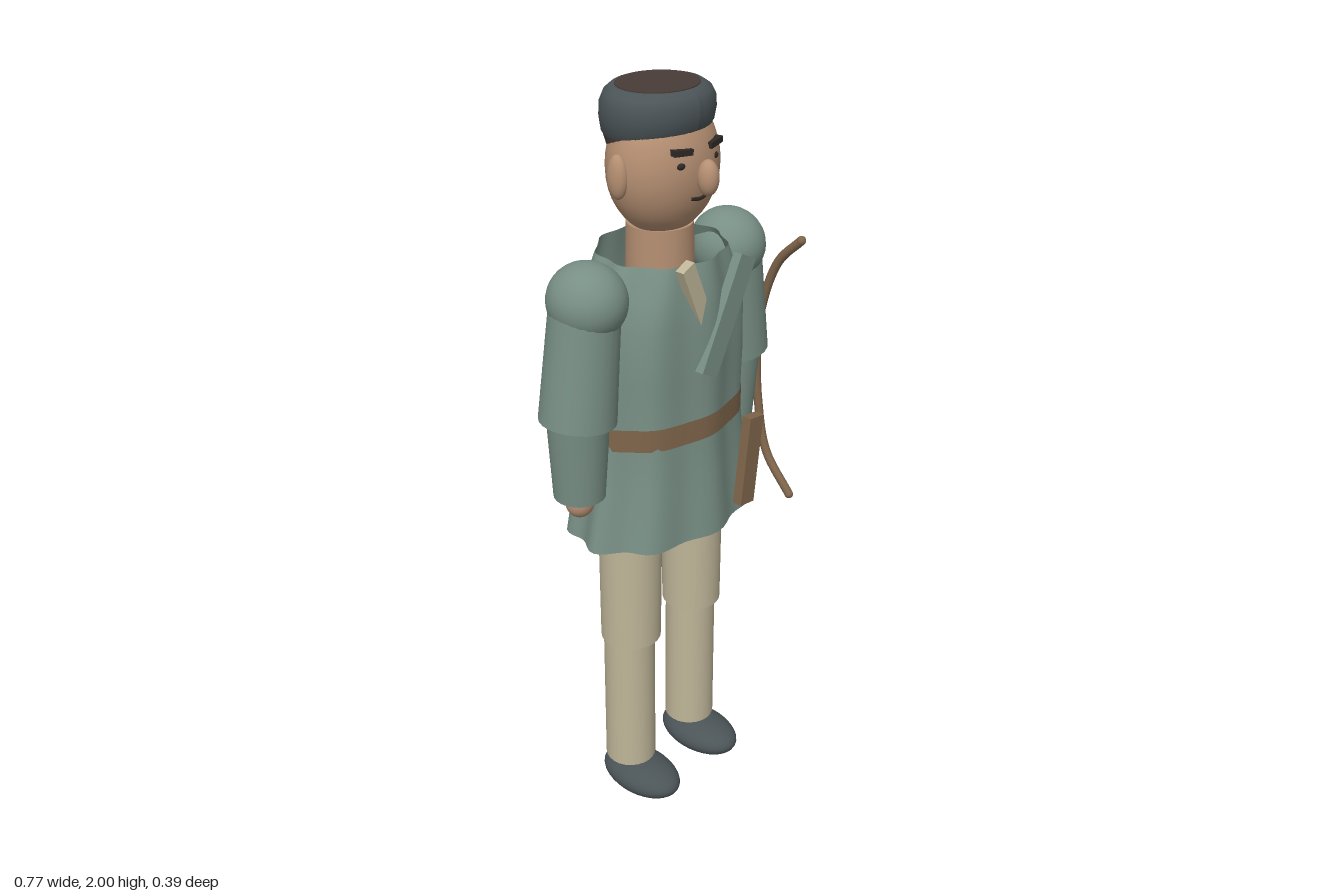
import * as THREE from 'three';

const mat = (name, color, side = THREE.FrontSide) => {
  const m = new THREE.MeshStandardMaterial({ color, side });
  m.name = name;
  return m;
};

export function createModel() {
  const root = new THREE.Group();
  root.name = 'archer';
  const cloth = mat('sage cloth', 0x788f85, THREE.DoubleSide);
  const linen = mat('linen', 0xbfb598);
  const skin = mat('skin', 0xb58f72);
  const dark = mat('slate felt', 0x4b5457);
  const hair = mat('dark hair', 0x483c36);
  const leather = mat('leather', 0x7f654b, THREE.DoubleSide);
  const ink = mat('face ink', 0x2f2926);

  const add = (name, geo, m, x = 0, y = 0, z = 0) => {
    const mesh = new THREE.Mesh(geo, m);
    mesh.name = name;
    mesh.position.set(x, y, z);
    root.add(mesh);
    return mesh;
  };
  const ball = (name, m, x, y, z, rx, ry, rz) =>
    add(name, new THREE.SphereGeometry(1, 32, 20).scale(rx, ry, rz), m, x, y, z);
  // Tapered limb between two points
  const limb = (name, m, a, b, ra, rb) => {
    const from = new THREE.Vector3(...a), to = new THREE.Vector3(...b);
    const dir = from.clone().sub(to);
    const mesh = add(name, new THREE.CylinderGeometry(ra, rb, dir.length(), 24), m);
    mesh.position.copy(from).add(to).multiplyScalar(0.5);
    mesh.quaternion.setFromUnitVectors(new THREE.Vector3(0, 1, 0), dir.normalize());
    return mesh;
  };
  // Open wall lofted through rings [y, rx, rz, fold depth]
  const loft = (rings, n = 72) => {
    const pos = [], idx = [];
    rings.forEach(([y, rx, rz, fold], j) => {
      for (let i = 0; i <= n; i++) {
        const t = (i / n) * Math.PI * 2;
        const k = 1 + fold * Math.sin(9 * t);
        pos.push(rx * k * Math.cos(t), y, rz * k * Math.sin(t) - 0.005);
        if (j && i) {
          const d = j * (n + 1) + i, c = d - 1, b = d - n - 1, a = b - 1;
          idx.push(a, c, b, b, c, d);
        }
      }
    });
    const g = new THREE.BufferGeometry();
    g.setAttribute('position', new THREE.Float32BufferAttribute(pos, 3));
    g.setIndex(idx);
    g.computeVertexNormals();
    return g;
  };

  // Tunic with folds deepening to the hem, and the belt around it
  add('tunic', loft([
    [0.875, 0.28, 0.188, 0.05], [1.03, 0.25, 0.175, 0.045], [1.18, 0.232, 0.164, 0.035],
    [1.32, 0.235, 0.168, 0.035], [1.46, 0.23, 0.168, 0.035], [1.54, 0.2, 0.162, 0.035],
    [1.61, 0.165, 0.15, 0.035],
  ]), cloth);
  add('belt', loft([[1.15, 0.238, 0.17, 0.015], [1.21, 0.238, 0.17, 0.015]]), leather);

  // Crossed collar bands on the chest
  const lapel = add('innerCollar', new THREE.BoxGeometry(0.042, 0.22, 0.025), linen, -0.043, 1.517, 0.148);
  lapel.rotation.z = 0.41;
  const flap = add('outerCollar', new THREE.BoxGeometry(0.06, 0.3, 0.025), cloth, 0.04, 1.462, 0.167);
  flap.rotation.z = -0.47;

  // Scabbard hanging from the belt
  const scabbard = add('scabbard', new THREE.BoxGeometry(0.052, 0.245, 0.027), leather, 0.122, 1.037, 0.186);
  scabbard.rotation.z = -0.12;

  // Paired limbs
  for (const s of [-1, 1]) {
    const side = s > 0 ? 'left' : 'right';
    ball(side + 'Shoulder', cloth, s * 0.252, 1.54, -0.008, 0.095, 0.095, 0.1);
    limb(side + 'UpperSleeve', cloth, [s * 0.255, 1.54, -0.01], [s * 0.288, 1.24, -0.015], 0.086, 0.096);
    limb(side + 'ForeSleeve', cloth, [s * 0.287, 1.26, -0.015], [s * 0.284, 1.03, -0.02], 0.078, 0.066);
    ball(side + 'Hand', skin, s * 0.292, 1.015, -0.012, 0.038, 0.042, 0.036);
    limb(side + 'Thigh', linen, [s * 0.12, 0.96, -0.005], [s * 0.123, 0.525, -0.005], 0.084, 0.081);
    limb(side + 'Shin', linen, [s * 0.125, 0.55, -0.01], [s * 0.125, 0.11, -0.01], 0.069, 0.07);
    ball(side + 'Shoe', dark, s * 0.125, 0.055, 0.032, 0.08, 0.05, 0.128);

    // Face features and ears
    ball(side + 'Ear', skin, s * 0.147, 1.812, -0.005, 0.021, 0.053, 0.028);
    ball(side + 'Eye', ink, s * 0.057, 1.84, 0.107, 0.013, 0.009, 0.009);
    const brow = add(side + 'Brow', new THREE.BoxGeometry(0.052, 0.014, 0.02), ink, s * 0.055, 1.872, 0.108);
    brow.rotation.set(0, s * 0.2, s * 0.08);
  }

  // Head
  add('neck', new THREE.CylinderGeometry(0.082, 0.085, 0.14, 28), skin, 0, 1.6, -0.01);
  ball('head', skin, 0, 1.815, 0, 0.148, 0.17, 0.124);
  ball('nose', skin, 0, 1.807, 0.14, 0.025, 0.043, 0.027);
  const lips = new THREE.CatmullRomCurve3([-0.03, 0, 0.03].map(
    (x) => new THREE.Vector3(x, 1.753 + Math.abs(x) * 0.15, 0.116 - Math.abs(x) * 0.12)));
  add('mouth', new THREE.TubeGeometry(lips, 10, 0.005, 6), ink);

  // Cap: round band dipping at the back, with hair showing at crown and nape
  const cap = new THREE.LatheGeometry([
    [0.128, 1.885], [0.139, 1.905], [0.144, 1.935], [0.142, 1.965], [0.132, 1.985], [0.115, 1.997], [0.1, 1.998],
  ].map(([x, y]) => new THREE.Vector2(x, y)), 48).scale(1, 1, 0.9);
  const p = cap.attributes.position;
  for (let i = 0; i < p.count; i++) {
    const low = Math.max(0, (1.998 - p.getY(i)) / 0.11);
    p.setY(i, p.getY(i) + p.getZ(i) * 0.13 * low);
  }
  cap.computeVertexNormals();
  add('cap', cap, dark, 0, 0, -0.016);
  add('crown', new THREE.CylinderGeometry(0.104, 0.104, 0.012, 36).scale(1, 1, 0.91), hair, 0, 1.994, -0.016);
  const nape = add('hair', new THREE.CylinderGeometry(0.138, 0.128, 0.05, 36).scale(1, 1, 0.9), hair, 0, 1.897, -0.018);
  nape.rotation.x = -0.13;
  limb('capTail', dark, [0.088, 1.93, -0.095], [0.118, 1.77, -0.155], 0.015, 0.015);

  // Bow carried on the left arm
  const bow = new THREE.CatmullRomCurve3([
    [1.555, 0.145], [1.48, 0.075], [1.34, 0.026], [1.2, 0.015], [1.06, 0.025], [0.915, 0.06], [0.81, 0.145],
  ].map(([y, z]) => new THREE.Vector3(0.36, y, z)));
  add('bow', new THREE.TubeGeometry(bow, 48, 0.012, 10), leather);
  for (const t of [0, 1]) {
    const tip = bow.getPoint(t);
    ball('bowTip', leather, tip.x, tip.y, tip.z, 0.012, 0.012, 0.012);
  }
  return root;
}
